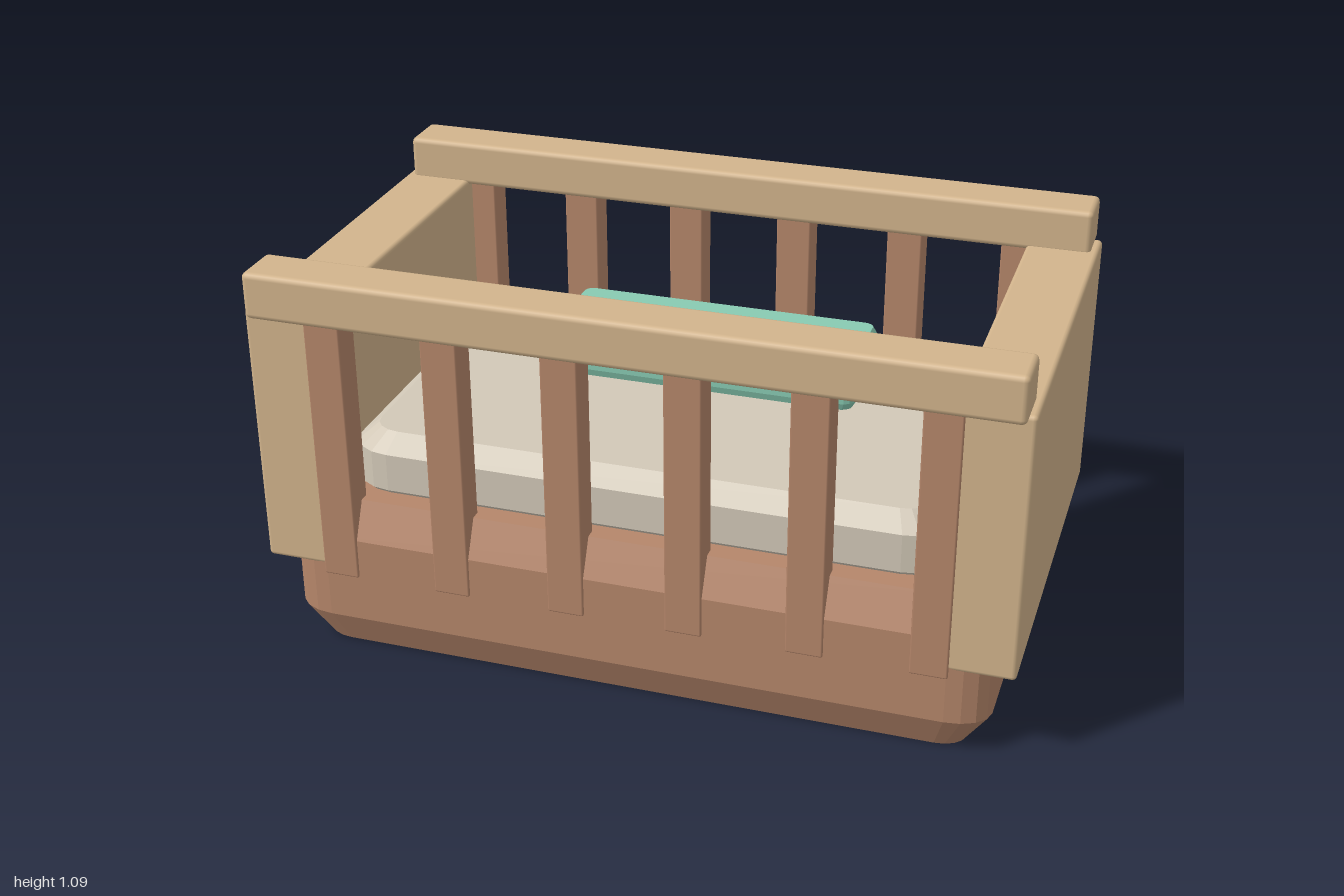
import * as THREE from 'three';
import { RoundedBoxGeometry } from 'three/addons/geometries/RoundedBoxGeometry.js';

function mat(name, color) {
  const m = new THREE.MeshStandardMaterial({ color });
  m.name = name;
  return m;
}

// Outline of a rectangle with elliptical corners, at height y
function ring(y, hx, hz, rx, rz, steps = 4) {
  const pts = [];
  const signs = [[1, 1], [-1, 1], [-1, -1], [1, -1]];
  signs.forEach(([sx, sz], q) => {
    for (let i = 0; i <= steps; i++) {
      const a = (q + i / steps) * Math.PI / 2;
      pts.push([sx * (hx - rx) + rx * Math.cos(a), y, sz * (hz - rz) + rz * Math.sin(a)]);
    }
  });
  return pts;
}

// Block with rounded corners and chamfered top and bottom edges, flat faceted
function chamferBlock({ y0, y1, hx, hz, rx, rz, insetX, insetZ, rise }) {
  const small = y => ring(y, hx - insetX, hz - insetZ, rx * 0.65, rz * 0.65);
  const full = y => ring(y, hx, hz, rx, rz);
  const rings = [small(y0), full(y0 + rise), full(y1 - rise), small(y1)];
  const n = rings[0].length;
  const pos = rings.flat(2);
  const bottom = rings.length * n, top = bottom + 1;
  pos.push(0, y0, 0, 0, y1, 0);
  const idx = [];
  for (let j = 0; j < n; j++) {
    const k = (j + 1) % n;
    for (let i = 0; i < rings.length - 1; i++) {
      const a = i * n + j, b = i * n + k;
      idx.push(a, a + n, b, b, a + n, b + n);
    }
    const t = (rings.length - 1) * n;
    idx.push(bottom, j, k, top, t + k, t + j);
  }
  const g = new THREE.BufferGeometry();
  g.setAttribute('position', new THREE.Float32BufferAttribute(pos, 3));
  g.setIndex(idx);
  const flat = g.toNonIndexed();
  flat.computeVertexNormals();
  return flat;
}

export function createModel() {
  const group = new THREE.Group();
  group.name = 'crib';
  const tan = mat('light wood', 0xd2b48c);
  const brown = mat('brown wood', 0xb5866a);
  const cream = mat('mattress cream', 0xd2c8b7);
  const teal = mat('pillow green', 0x88cab2);

  const add = (name, geometry, material, x = 0, y = 0, z = 0) => {
    const m = new THREE.Mesh(geometry, material);
    m.name = name;
    m.position.set(x, y, z);
    group.add(m);
  };

  // Base, mattress and pillow
  add('base', chamferBlock({ y0: 0, y1: 0.44, hx: 0.94, hz: 0.55, rx: 0.11, rz: 0.075,
    insetX: 0.066, insetZ: 0.047, rise: 0.1 }), brown);
  add('mattress', chamferBlock({ y0: 0.4, y1: 0.605, hx: 0.8, hz: 0.453, rx: 0.115, rz: 0.1,
    insetX: 0.058, insetZ: 0.043, rise: 0.05 }), cream);
  add('pillow', chamferBlock({ y0: 0.59, y1: 0.72, hx: 0.441, hz: 0.168, rx: 0.045, rz: 0.035,
    insetX: 0.02, insetZ: 0.012, rise: 0.035 }), teal, 0, 0, -0.217);

  // End panels
  const panel = new RoundedBoxGeometry(0.192, 0.72, 1.1, 2, 0.012);
  for (const [side, s] of [['left', 1], ['right', -1]])
    add(side + 'EndPanel', panel, tan, s * 0.904, 0.613, 0);

  // Top rails and slats on both long sides
  const rail = new RoundedBoxGeometry(1.96, 0.125, 0.14, 2, 0.015);
  const slat = new RoundedBoxGeometry(0.097, 0.77, 0.085, 1, 0.005);
  for (const [side, s] of [['front', 1], ['back', -1]]) {
    add(side + 'Rail', rail, tan, 0, 1.023, s * 0.515);
    for (let i = 0; i < 6; i++)
      add(side + 'Slat' + (i + 1), slat, brown, (i - 2.5) * 0.3145, 0.615, s * 0.514);
  }
  return group;
}
